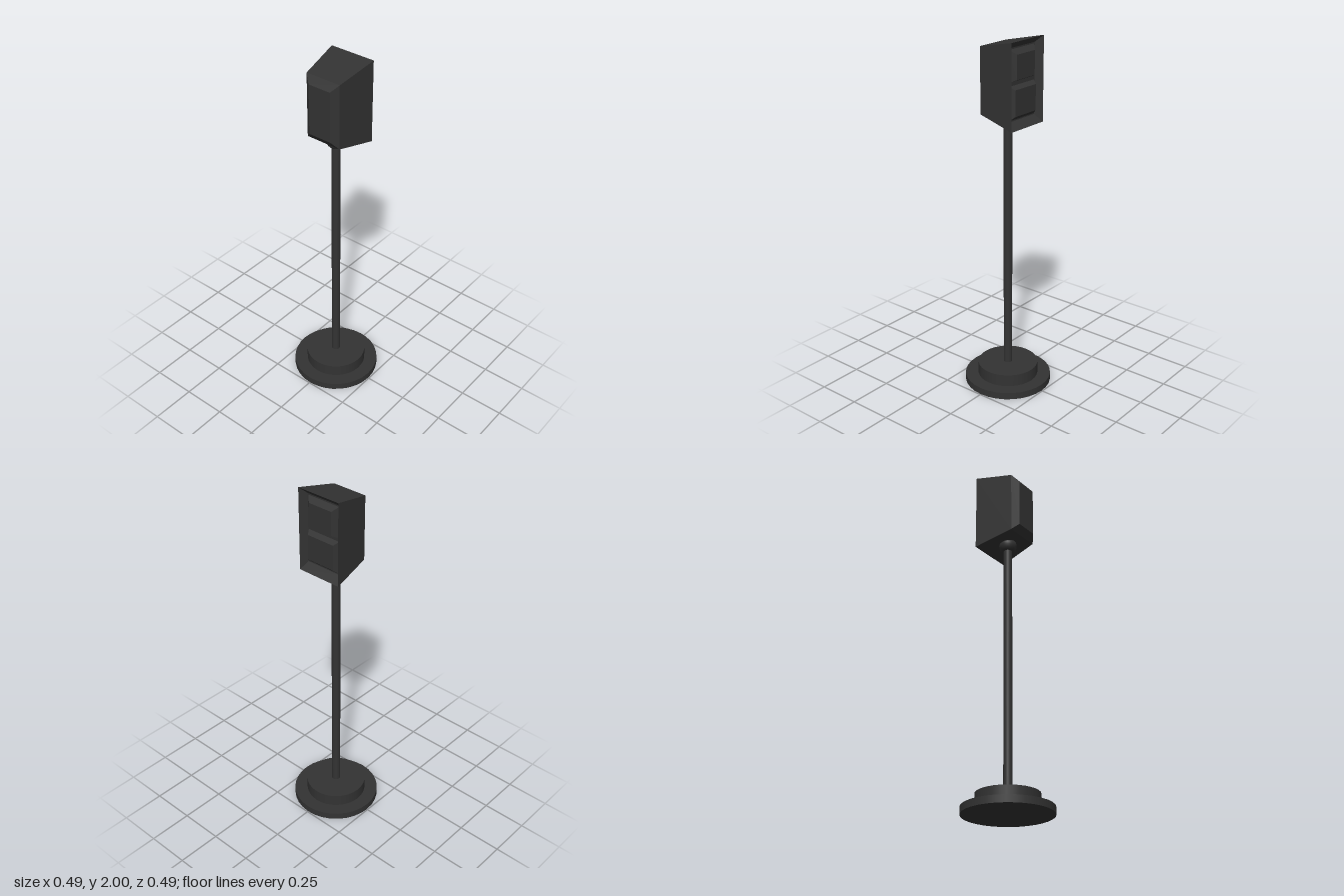
import * as THREE from 'three';

const dark = new THREE.MeshStandardMaterial({ color: 0x333333 });
const darkFlat = new THREE.MeshStandardMaterial({ color: 0x333333, flatShading: true });

// Skin rectangular sections [x, yBottom, yTop, halfDepth], closed at both ends
function loft(sections) {
  const pos = [];
  const rings = sections.map(([x, y0, y1, h]) =>
    [[x, y0, -h], [x, y1, -h], [x, y1, h], [x, y0, h]]);
  const quad = (a, b, c, d) => pos.push(...a, ...b, ...c, ...a, ...c, ...d);
  for (let s = 0; s < rings.length - 1; s++) {
    for (let i = 0; i < 4; i++) {
      const j = (i + 1) % 4;
      quad(rings[s][i], rings[s][j], rings[s + 1][j], rings[s + 1][i]);
    }
  }
  quad(...[...rings[0]].reverse());
  quad(...rings[rings.length - 1]);
  const geo = new THREE.BufferGeometry();
  geo.setAttribute('position', new THREE.Float32BufferAttribute(pos, 3));
  geo.computeVertexNormals();
  return geo;
}

export function createModel() {
  const model = new THREE.Group();
  model.name = 'speakerOnStand';

  const add = (name, geometry, material, parent = model) => {
    const mesh = new THREE.Mesh(geometry, material);
    mesh.name = name;
    parent.add(mesh);
    return mesh;
  };
  const cylinder = (name, radius, y0, y1) => {
    const geo = new THREE.CylinderGeometry(radius, radius, y1 - y0, 32);
    add(name, geo, dark).position.y = (y0 + y1) / 2;
  };

  // Stand
  cylinder('basePlate', 0.245, 0, 0.04);
  cylinder('baseStep', 0.171, 0.04, 0.11);
  cylinder('pole', 0.024, 0.11, 1.54);

  // Rounded joint under the cabinet
  const jointProfile = [[0, 1.523], [0.036, 1.525], [0.044, 1.535], [0.049, 1.55],
    [0.05, 1.565], [0.045, 1.585], [0, 1.6]].map(([r, y]) => new THREE.Vector2(r, y));
  add('joint', new THREE.LatheGeometry(jointProfile, 32), dark);

  // Cabinet: chamfered back, flared body, then a sloped rim into the front recess
  const speaker = new THREE.Group();
  speaker.name = 'speaker';
  model.add(speaker);
  add('cabinet', loft([
    [-0.13, 1.63, 1.91, 0.067],
    [-0.10, 1.59, 1.95, 0.104],
    [0.13, 1.54, 2.0, 0.132],
    [0.09, 1.58, 1.963, 0.107],
  ]), darkFlat, speaker);

  // Bevelled driver panels raised from the recess floor
  add('upperPanel', loft([
    [0.085, 1.785, 1.96, 0.106],
    [0.117, 1.80, 1.93, 0.074],
  ]), darkFlat, speaker);
  add('lowerPanel', loft([
    [0.085, 1.582, 1.77, 0.106],
    [0.117, 1.61, 1.75, 0.085],
  ]), darkFlat, speaker);

  return model;
}
